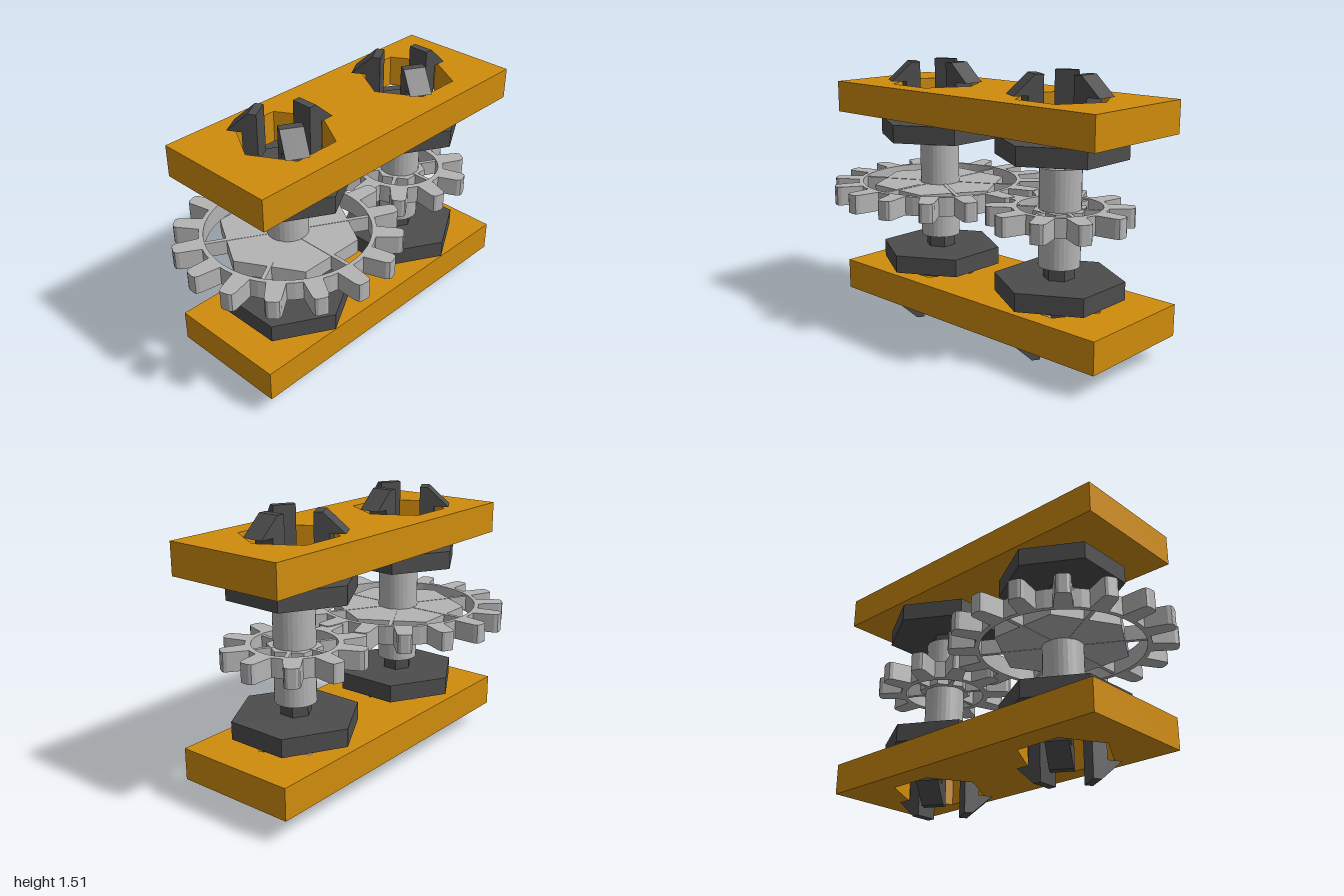
import * as THREE from 'three';

const mat = (name, color) => {
  const m = new THREE.MeshStandardMaterial({ color, flatShading: true });
  m.name = name;
  return m;
};

export function createModel() {
  const model = new THREE.Group();
  const orange = mat('orange plate', 0xd08c0d);
  const grey = mat('light grey gear', 0xb4b4b4);
  const dark = mat('dark grey bushing', 0x4d4d4d);
  const AXIS_Z = 0.01;

  const add = (parent, name, geo, material) => {
    const m = new THREE.Mesh(geo, material);
    m.name = name;
    parent.add(m);
    return m;
  };
  // Extrudes a plan shape (x, -z) upward from y0 to y1
  const slab = (shape, y0, y1) =>
    new THREE.ExtrudeGeometry(shape, { depth: y1 - y0, bevelEnabled: false, curveSegments: 24 })
      .rotateX(-Math.PI / 2).translate(0, y0, 0);
  const polygon = (n, r, start = 0, cx = 0, cy = 0) =>
    Array.from({ length: n }, (_, i) => {
      const a = start + i * Math.PI * 2 / n;
      return new THREE.Vector2(cx + r * Math.cos(a), cy + r * Math.sin(a));
    });
  // Hexagonal prism with corners on the z axis
  const hex = (r, y0, y1) => slab(new THREE.Shape(polygon(6, r, Math.PI / 6)), y0, y1);

  // Side plates with two hexagonal holes
  const plate = (name, x0, x1, z0, z1, y0, y1, holes) => {
    const s = new THREE.Shape([[x0, -z1], [x1, -z1], [x1, -z0], [x0, -z0]]
      .map(p => new THREE.Vector2(...p)));
    for (const hx of holes) s.holes.push(new THREE.Path(polygon(6, 0.26, 0, hx, -AXIS_Z)));
    add(model, name, slab(s, y0, y1), orange);
  };
  plate('topPlate', -0.86, 0.99, -0.335, 0.36, 1.21, 1.385, [-0.39, 0.53]);
  plate('bottomPlate', -0.85, 1.0, -0.36, 0.335, 0.13, 0.305, [-0.39, 0.53]);

  // Snap-in bushing, built for the top; the bottom one is mirrored
  const bushing = (name) => {
    const g = new THREE.Group();
    g.name = name;
    add(g, 'flange', hex(0.35, 1.08, 1.18), dark);
    add(g, 'collar', hex(0.14, 1.18, 1.25), dark);
    const profile = [[0.12, 1.18], [0.2, 1.18], [0.2, 1.405], [0.28, 1.405], [0.165, 1.51], [0.12, 1.51]];
    for (let i = 0; i < 3; i++) {
      const geo = new THREE.ExtrudeGeometry(
        new THREE.Shape(profile.map(p => new THREE.Vector2(...p))),
        { depth: 0.12, bevelEnabled: false }).translate(0, 0, -0.06);
      add(g, 'clipProng', geo, dark).rotation.y = i * Math.PI * 2 / 3;
    }
    return g;
  };

  // Spoked gear: toothed rim, hexagonal web and thin spokes
  const gear = (parent, o) => {
    const pts = [];
    const step = Math.PI * 2 / o.teeth;
    for (let i = 0; i < o.teeth; i++) {
      const a = o.phase + i * step;
      const put = (r, t) => pts.push(new THREE.Vector2(
        r * Math.cos(a) - t * Math.sin(a), r * Math.sin(a) + t * Math.cos(a)));
      const tooth = [[o.root - 0.004, 0.05], [o.tip - 0.025, 0.042], [o.tip - 0.006, 0.034], [o.tip, 0.02]];
      tooth.forEach(([r, t]) => put(r, -t));
      tooth.reverse().forEach(([r, t]) => put(r, t));
      const mid = a + step / 2;
      pts.push(new THREE.Vector2(o.root * Math.cos(mid), o.root * Math.sin(mid)));
    }
    const rim = new THREE.Shape(pts);
    rim.holes.push(new THREE.Path(polygon(48, o.inner)));
    add(parent, 'toothedRim', slab(rim, o.y0, o.y1), grey);
    add(parent, 'gearWeb', slab(new THREE.Shape(polygon(6, o.web)), o.y0 + 0.012, o.y1 - 0.012), grey);
    for (let i = 0; i < 6; i++) {
      const len = o.inner + 0.01;
      const spoke = new THREE.BoxGeometry(len, o.y1 - o.y0 - 0.02, 0.022)
        .translate(len / 2, (o.y0 + o.y1) / 2, 0);
      add(parent, 'spoke', spoke, grey).rotation.y = Math.PI / 6 + i * Math.PI / 3;
    }
  };

  const deg = Math.PI / 180;
  const units = [
    { name: 'largeGearUnit', x: -0.39, hubTop: 1.04, teeth: 16, phase: 16.9 * deg, root: 0.47, tip: 0.612, inner: 0.445, web: 0.38, y0: 0.72, y1: 0.825 },
    { name: 'smallGearUnit', x: 0.512, hubTop: 1.03, teeth: 10, phase: 4 * deg, root: 0.255, tip: 0.388, inner: 0.225, web: 0.15, y0: 0.715, y1: 0.82 },
  ];
  for (const o of units) {
    const g = new THREE.Group();
    g.name = o.name;
    g.position.set(o.x, 0, AXIS_Z - 0.005);
    const hubHeight = o.hubTop - 0.5;
    add(g, 'hub', new THREE.CylinderGeometry(0.112, 0.112, hubHeight, 28)
      .translate(0, 0.5 + hubHeight / 2, 0), grey);
    add(g, 'hexShaft', hex(0.085, 0.42, 1.09), dark);
    gear(g, o);
    g.add(bushing('topBushing'));
    const lower = bushing('bottomBushing');
    // Flip about the mid height, keeping the prongs in place
    lower.rotation.x = Math.PI;
    lower.position.y = 1.512;
    g.add(lower);
    model.add(g);
  }
  return model;
}
